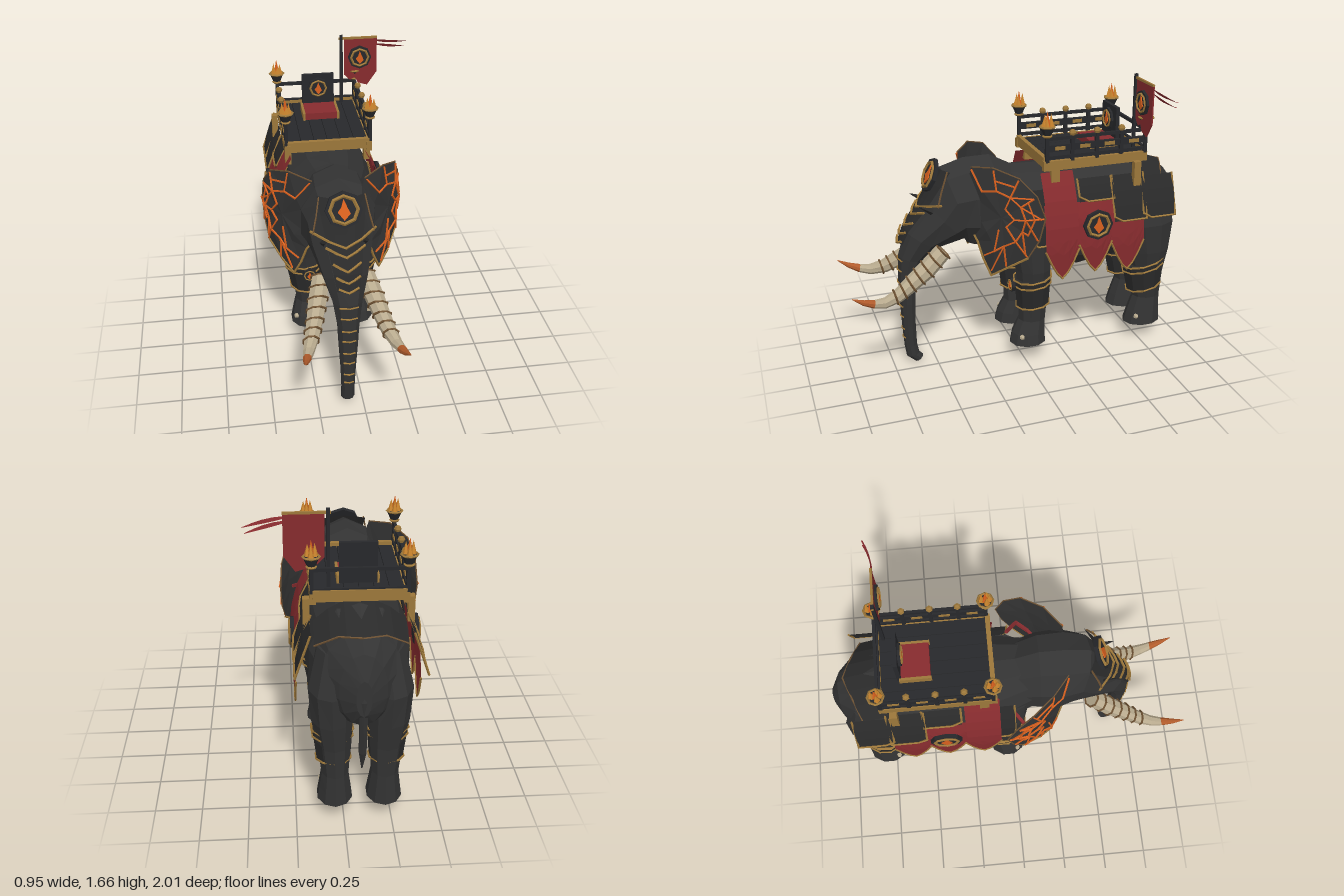
import * as THREE from 'three';
import { mergeGeometries } from 'three/addons/utils/BufferGeometryUtils.js';

const H = Math.PI / 2;
const V = (x, y, z) => new THREE.Vector3(x, y, z);
const shapeOf = pts => new THREE.Shape(pts.map(p => new THREE.Vector2(...p)));
const mix = (a, b, t) => a.map((v, k) => v + (b[k] - v) * t);
const mat = (name, color, side = THREE.FrontSide) => Object.assign(new THREE.MeshStandardMaterial({ color, side }), { name });

// Faceted, non-indexed copy of a geometry
function flat(g) {
  const f = g.index ? g.toNonIndexed() : g;
  f.deleteAttribute('uv');
  f.computeVertexNormals();
  return f;
}
function mirrored(g) {
  const m = g.clone().scale(-1, 1, 1), p = m.attributes.position;
  for (let i = 0; i < p.count; i += 3) {
    const a = V().fromBufferAttribute(p, i), b = V().fromBufferAttribute(p, i + 2);
    p.setXYZ(i, b.x, b.y, b.z);
    p.setXYZ(i + 2, a.x, a.y, a.z);
  }
  m.computeVertexNormals();
  return m;
}
const build = (points, index) => flat(new THREE.BufferGeometry().setFromPoints(points).setIndex(index));
// Ring of a section [x, y, z, rx, rv, tilt]; tilt 0 faces +z, tilt PI/2 faces down
const ring = ([x, y, z, rx, rv, a], n = 10, grow = 0) => Array.from({ length: n }, (_, i) => {
  const t = (i + 0.5) / n * Math.PI * 2, u = (rv + grow) * Math.sin(t);
  return V(x + (rx + grow) * Math.cos(t), y + u * Math.cos(a), z + u * Math.sin(a));
});
// Closed skin through a row of sections
function loft(sections, n = 10) {
  const pts = sections.flatMap(s => ring(s, n)), idx = [], last = sections.length - 1, c = pts.length;
  pts.push(V(...sections[0].slice(0, 3)), V(...sections[last].slice(0, 3)));
  for (let j = 0; j < n; j++) {
    const k = (j + 1) % n;
    for (let i = 0; i < last * n; i += n) idx.push(i + j, i + k, i + j + n, i + k, i + k + n, i + j + n);
    idx.push(c, k, j, c + 1, last * n + j, last * n + k);
  }
  return build(pts, idx);
}
// Thin open sheet from a rule
function sheet(nu, nv, fn) {
  const pts = [], idx = [], w = nu + 1;
  for (let j = 0; j <= nv; j++) for (let i = 0; i <= nu; i++) {
    const a = j * w + i;
    pts.push(fn(i / nu, j / nv));
    if (i < nu && j < nv) idx.push(a, a + w, a + 1, a + 1, a + w, a + w + 1);
  }
  return build(pts, idx);
}
// Chain of thin straight bars
function rod(points, r, closed = false) {
  const list = closed ? [...points, points[0]] : points;
  return mergeGeometries(list.slice(1).map((b, i) => {
    const d = b.clone().sub(list[i]), c = list[i].clone().add(b).multiplyScalar(0.5);
    const g = new THREE.CylinderGeometry(r, r, d.length() + r, 4);
    g.applyQuaternion(new THREE.Quaternion().setFromUnitVectors(V(0, 1, 0), d.normalize()));
    return flat(g.translate(c.x, c.y, c.z));
  }));
}
function interp(table, v) {
  let i = 0;
  while (i < table.length - 2 && v < table[i + 1][0]) i++;
  const [a, x] = table[i], [b, y] = table[i + 1];
  return x + (y - x) * THREE.MathUtils.clamp((v - a) / (b - a), 0, 1);
}

export function createModel() {
  const hide = mat('charcoal hide', 0x333333), iron = mat('black iron', 0x27282b), plate = mat('armour black', 0x2a2a2a, THREE.DoubleSide);
  const red = mat('red cloth', 0x862b2e, THREE.DoubleSide), gold = mat('aged gold', 0x9c773a), flame = mat('flame yellow', 0xcc862e);
  const ivory = mat('ivory', 0xb8aa8e), brown = mat('brown band', 0x6e5233), orange = mat('ember orange', 0xd8601e), tipMat = mat('burnt tip', 0xb25c2c);
  const root = new THREE.Group(), beast = new THREE.Group();
  root.name = 'warElephant';
  beast.name = 'elephant';
  beast.position.x = -0.085;
  root.add(beast);
  const add = (name, g, m, parent = beast) => parent.add(Object.assign(new THREE.Mesh(g, m), { name }));
  const pair = (name, g, m) => { add(name + 'Left', g, m); add(name + 'Right', mirrored(g), m); };
  const box = (name, w, h, d, x, y, z, m) => add(name, flat(new THREE.BoxGeometry(w, h, d).translate(x, y, z)), m);
  const extrude = (s, depth) => new THREE.ExtrudeGeometry(s, { depth, bevelEnabled: false });

  // Round badge with a flame, facing +z
  function medallion(name, r, x, y, z, ry = 0, rx = 0) {
    const g = new THREE.Group();
    add('badge', flat(new THREE.CylinderGeometry(r, r, 0.02, 8).rotateX(H)), iron, g);
    add('badgeRing', flat(new THREE.TorusGeometry(r * 0.74, r * 0.1, 4, 8).translate(0, 0, 0.012)), gold, g);
    const s = shapeOf([[0, -0.55], [0.34, -0.2], [0.2, 0.1], [0, 0.6], [-0.14, 0.15], [-0.34, -0.1]].map(p => [p[0] * r, p[1] * r]));
    add('badgeFlame', flat(extrude(s, 0.006).translate(0, 0, 0.01)), orange, g);
    g.name = name;
    g.position.set(x, y, z);
    g.rotation.set(rx, ry, 0);
    beast.add(g);
  }

  // Body, head with trunk, tail
  add('body', loft([[0, 0.82, -0.998, 0.04, 0.1, 0], [0, 0.84, -0.95, 0.12, 0.2, 0], [0, 0.86, -0.86, 0.21, 0.26, 0],
    [0, 0.87, -0.7, 0.26, 0.315, 0], [0, 0.86, -0.5, 0.28, 0.32, 0], [0, 0.845, -0.35, 0.29, 0.325, 0],
    [0, 0.865, -0.15, 0.27, 0.3, 0], [0, 0.9, 0, 0.22, 0.27, 0], [0, 0.94, 0.12, 0.18, 0.24, 0]], 14), hide);
  const trunk = [[0, 0.68, 0.62, 0.08, 0.075, 1.35], [0, 0.55, 0.65, 0.06, 0.05, 1.57], [0, 0.4, 0.65, 0.052, 0.045, 1.57],
    [0, 0.25, 0.65, 0.042, 0.04, 1.57], [0, 0.12, 0.645, 0.037, 0.037, 1.57], [0, 0.055, 0.635, 0.038, 0.038, 1.8], [0, 0.022, 0.6, 0.034, 0.03, 2.2]];
  add('headAndTrunk', loft([[0, 0.94, 0, 0.17, 0.22, 0], [0, 0.97, 0.15, 0.2, 0.27, 0], [0, 0.97, 0.27, 0.21, 0.27, 0.12],
    [0, 0.96, 0.36, 0.185, 0.25, 0.3], [0, 0.89, 0.42, 0.165, 0.165, 0.75], [0, 0.79, 0.55, 0.12, 0.11, 1.05], ...trunk], 10), hide);
  trunk.slice(0, 4).forEach((s, i) => [0.1, 0.55].forEach(t =>
    add('trunkBand', rod(ring(mix(s, trunk[i + 1], t), 10, 0.002).slice(1, 4), 0.005), gold)));
  add('tail', loft([[0, 0.95, -0.93, 0.04, 0.03, H], [0, 0.8, -0.985, 0.025, 0.02, H], [0, 0.62, -0.965, 0.022, 0.024, H],
    [0, 0.48, -0.945, 0.022, 0.024, H], [0, 0.37, -0.925, 0.004, 0.004, H]], 6), hide);

  // Legs with guards
  pair('frontLeg', loft([[0.14, 0.95, -0.05, 0.1, 0.14, H], [0.16, 0.75, -0.05, 0.11, 0.13, H], [0.16, 0.58, -0.06, 0.1, 0.105, H],
    [0.147, 0.42, -0.065, 0.083, 0.09, H], [0.14, 0.25, -0.06, 0.076, 0.083, H], [0.146, 0.17, -0.038, 0.092, 0.101, H],
    [0.15, 0.108, -0.032, 0.1, 0.11, H]], 10), hide);
  pair('rearLeg', loft([[0.12, 1, -0.74, 0.1, 0.15, H], [0.15, 0.78, -0.77, 0.12, 0.18, H], [0.145, 0.6, -0.79, 0.11, 0.14, H],
    [0.135, 0.45, -0.8, 0.09, 0.105, H], [0.13, 0.28, -0.81, 0.073, 0.086, H], [0.13, 0.18, -0.795, 0.086, 0.106, H],
    [0.13, 0.108, -0.786, 0.096, 0.118, H]], 10), hide);
  for (const [name, top, low] of [['frontGuard', [0.165, 0.53, -0.055, 0.112, 0.11, H + 0.12], [0.15, 0.35, -0.062, 0.092, 0.098, H + 0.1]],
    ['rearGuard', [0.142, 0.52, -0.77, 0.108, 0.132, H + 0.2], [0.137, 0.35, -0.785, 0.09, 0.108, H + 0.2]]]) {
    pair(name, loft([top, low], 10), plate);
    [top, mix(top, low, 0.22), low].forEach(s => pair(name + 'Trim', rod(ring(s, 10, 0.003), 0.006, true), gold));
  }
  for (const s of [-1, 1]) medallion('kneeBadge', 0.042, s * 0.14, 0.48, 0.062);
  for (const [x, z] of [[0.22, 0.025], [0.2, -0.72]]) pair('toenail', flat(new THREE.DodecahedronGeometry(0.016).translate(x, 0.165, z)), ivory);

  // Ears: faceted lens shape swept back from the head
  const outline = [[0, 1.1], [0.1, 1.225], [0.4, 1.245], [0.7, 1.2], [0.9, 1.1], [1, 0.97], [0.93, 0.84], [0.8, 0.74],
    [0.55, 0.67], [0.36, 0.61], [0.26, 0.7], [0.18, 0.8], [0.04, 0.88]], N = outline.length;
  const earPoint = (u, y, d) => V(0.468 * u ** 0.3, 0, 0.4 * Math.cos(1.4 * u)).normalize().multiplyScalar(d)
    .add(V(0.1 + 0.288 * Math.sin(1.4 * u), y, 0.31 - 0.36 * u ** 1.3));
  const earAt = (i, s, d) => earPoint(0.5 + (outline[i][0] - 0.5) * s, 0.97 + (outline[i][1] - 0.97) * s, d);
  const bump = i => i % 2 ? 0.018 : 0.008, ep = [], ei = [];
  for (let i = 0; i < N; i++) {
    const a = i * 3, b = (i + 1) % N * 3;
    ep.push(earAt(i, 1, 0), earAt(i, 0.55, bump(i)), earAt(i, 0.55, -0.015));
    ei.push(a, a + 1, b, b, a + 1, b + 1, 3 * N, b + 1, a + 1, a, b, a + 2, b, b + 2, a + 2, 3 * N + 1, a + 2, b + 2);
  }
  ep.push(earPoint(0.5, 0.97, 0.012), earPoint(0.5, 0.97, -0.015));
  pair('ear', build(ep, ei), hide);
  pair('earTrim', rod([7, 8, 9, 10, 11, 12].map(i => earAt(i, 1, 0.002)), 0.007), gold);
  pair('earRimTrim', rod([1, 2, 3, 4, 5, 6, 7].map(i => earAt(i, 1, 0.002)), 0.004), brown);
  // Glowing cracks: paths of [outline point, distance from the ear's middle]
  const onEar = ([i, s]) => earAt(i, s, 0.007 + (s > 0.55 ? bump(i) * (1 - s) / 0.45 : 0.012 + (bump(i) - 0.012) * s / 0.55));
  [[[2, 0.95], [2, 0.55], [3, 0.55], [4, 0.9]], [[3, 0.95], [3, 0.55], [4, 0.55], [5, 0.9]], [[4, 0.9], [4, 0.55], [5, 0.55], [6, 0.95]],
    [[5, 0.95], [5, 0.55], [6, 0.55], [7, 0.9]], [[6, 0.55], [7, 0.55], [7, 0.95]], [[7, 0.55], [8, 0.55], [9, 0.9]], [[8, 0.55], [8, 0.95]],
    [[2, 0.55], [1, 0.55], [1, 0.95]], [[9, 0.55], [10, 0.9]], [[3, 0.55], [3, 0.25], [5, 0.3], [5, 0.55]], [[7, 0.55], [7, 0.2], [5, 0.3]],
    [[8, 0.55], [9, 0.55], [9, 0.2]], [[4, 0.75], [5, 0.75], [6, 0.7], [6, 0.55]], [[2, 0.75], [3, 0.8]]]
    .forEach(c => pair('earCrack', rod(c.map(onEar), 0.0055), orange));

  // Tusks
  const tusk = [[0.12, 0.74, 0.46, 0.05, 0.05, 0.7], [0.15, 0.66, 0.56, 0.054, 0.054, 0.6], [0.178, 0.597, 0.66, 0.047, 0.047, 0.5],
    [0.203, 0.55, 0.74, 0.04, 0.04, 0.3], [0.228, 0.53, 0.82, 0.031, 0.031, 0], [0.242, 0.54, 0.88, 0.024, 0.024, -0.25]];
  pair('tusk', loft(tusk, 8), ivory);
  pair('tuskTip', loft([tusk[5], [0.253, 0.563, 0.94, 0.015, 0.015, -0.4], [0.262, 0.598, 1, 0.002, 0.002, -0.5]], 8), tipMat);
  for (const t of [0, 0.5, 1, 1.5, 2, 2.6, 3.2]) {
    const i = Math.floor(t);
    pair('tuskBand', rod(ring(mix(tusk[i], tusk[i + 1], t - i), 8, 0.003), 0.006, true), brown);
  }

  // Face mask with gold chevrons
  const face = [[1.24, 0.42], [1.19, 0.445], [1, 0.545], [0.845, 0.655], [0.69, 0.7]];
  const onFace = (x, y, d) => V(x, y, interp(face, y) + d - 2.6 * x * x);
  add('faceMask', sheet(4, 5, (u, v) => onFace((u - 0.5) * (0.26 - 0.14 * v), 1.2 - 0.42 * v, 0.012)), plate);
  [[0.17, 1.0, 0.05], [0.1, 0.96, 0.035], [0.07, 0.9, 0.03], [0.06, 0.85, 0.025], [0.05, 0.8, 0.02]].forEach(([w, y, rise]) =>
    add('maskChevron', rod([-1, -0.5, 0, 0.5, 1].map(t => onFace(t * w, y - 0.02 + rise * Math.abs(t), 0.02)), 0.007), gold));
  pair('maskEdge', rod([1.2, 1.1, 1.02].map((y, i) => onFace(0.12 + i * 0.02, y, 0.02)), 0.005), brown);
  pair('browSpike', flat(new THREE.ConeGeometry(0.02, 0.09, 4).rotateX(1.1).translate(0.11, 1, 0.55)), plate);
  medallion('foreheadBadge', 0.098, 0, 1.155, 0.49, 0, -0.4);

  // Side cloths following the flank
  const flank = [[1.18, 0.19], [1.05, 0.262], [0.9, 0.308], [0.75, 0.322], [0.55, 0.31]];
  const onFlank = (z, y, d = 0) => V(interp(flank, y) + d, y, z);
  for (let k = 0; k < 3; k++) {
    const low = u => (k === 1 ? 0.585 : 0.565) + 0.17 * Math.abs(2 * u - 1) ** 1.4;
    const at = (u, v) => onFlank(-0.08 - 0.2 * (k + u), 1 + (low(u) - 1) * v, 0.012 * Math.sin(u * Math.PI));
    pair('pennant', sheet(6, 6, at), red);
    pair('pennantTrim', rod([0, 1 / 6, 1 / 3, 0.5, 2 / 3, 5 / 6, 1].map(u => at(u, 1)), 0.006), gold);
  }
  pair('shoulderCloth', sheet(2, 5, (u, v) => onFlank(-0.08 - 0.19 * u, 1.17 - 0.37 * v, 0.018)), red);
  pair('redStrap', rod([V(0.24, 0.98, 0), V(0.31, 0.93, 0.06), V(0.27, 0.9, 0.12), V(0.2, 0.88, 0.18)], 0.012), red);
  for (const s of [-1, 1]) medallion('flankBadge', 0.088, s * 0.33, 0.87, -0.385, s * H);

  // Armour plates: [front z, back z, top y, bottom y, offset]
  [[0, -0.16, 1.08, 0.77, -0.015], [-0.29, -0.5, 1.12, 1, 0.01], [-0.49, -0.69, 1.12, 0.87, 0.016], [-0.67, -0.87, 1.1, 0.87, 0.014]].forEach(([z0, z1, y0, y1, d]) => {
    pair('armourPlate', sheet(2, 3, (u, v) => onFlank(z0 + (z1 - z0) * u, y0 + (y1 - y0) * v, d)), plate);
    const e = [[z0, y0], [z0, y1 + 0.03], [z0 + (z1 - z0) * 0.25, y1], [z1, y1], [z1, y0]];
    pair('armourTrim', rod(e.map(([z, y]) => onFlank(z, y, d + 0.003)), 0.006), gold);
  });
  const rump = (x, z) => V(x, 1.195 - 2.2 * x * x - (-z - 0.66) * 0.36, z);
  add('rumpPlate', sheet(6, 2, (u, v) => rump((u - 0.5) * 0.46, -0.66 - v * (0.25 - 0.09 * Math.abs(2 * u - 1)))), plate);
  add('rumpTrim', rod([-1, -0.5, 0, 0.5, 1].map(t => rump(t * 0.23, -0.91 + 0.09 * Math.abs(t))), 0.005), brown);

  // Platform on the back
  for (let i = 0; i < 6; i++) box('plank', 0.072, 0.03, 0.59, (i - 2.5) * 0.075, 1.228, -0.4, iron);
  box('deckBase', 0.45, 0.02, 0.58, 0, 1.205, -0.4, iron);
  for (const z of [-0.105, -0.7]) box('endBeam', 0.46, 0.06, 0.025, 0, 1.232, z, gold);
  const posts = [-0.11, -0.257, -0.403, -0.55, -0.697];
  for (const s of [-1, 1]) {
    const x = s * 0.235;
    box('sideBeam', 0.03, 0.055, 0.62, s * 0.23, 1.215, -0.4, gold);
    box('frontStrut', 0.035, 0.09, 0.05, s * 0.225, 1.155, -0.16, gold);
    box('rearStrut', 0.035, 0.14, 0.04, s * 0.262, 1.125, -0.64, gold);
    for (const [y, h] of [[1.262, 0.018], [1.313, 0.038], [1.368, 0.018]]) box('sideRail', 0.016, h, 0.59, x, y, -0.403, iron);
    posts.forEach((z, i) => {
      box('railPost', 0.02, 0.15, 0.02, x, 1.31, z, iron);
      if (i > 0 && i < 4) add('postKnob', flat(new THREE.SphereGeometry(0.02, 6, 4).translate(x, 1.392, z)), gold);
      if (i < 4) box('railInlay', 0.024, 0.02, 0.06, x, 1.313, z - 0.073, gold);
    });
    // Braziers on the corner posts
    for (const z of [posts[0], posts[4]]) {
      add('brazierCup', flat(new THREE.CylinderGeometry(0.042, 0.018, 0.055, 8).translate(x, 1.41, z)), iron);
      for (const [r, y] of [[0.041, 1.438], [0.022, 1.385]]) add('brazierRim', flat(new THREE.TorusGeometry(r, 0.007, 4, 8).rotateX(H).translate(x, y, z)), gold);
      [[0, 0, 0.09, orange], [0.018, 0.01, 0.065, flame], [-0.018, 0.008, 0.07, flame], [0.002, -0.02, 0.075, flame], [0.004, 0.022, 0.05, flame]].forEach(([dx, dz, h, m]) =>
        add('brazierFlame', flat(new THREE.ConeGeometry(0.018, h, 5).translate(x + dx, 1.435 + h / 2, z + dz)), m));
    }
  }
  for (const y of [1.262, 1.368]) box('rearRail', 0.47, 0.018, 0.016, 0, y, -0.697, iron);

  // Throne
  box('throneSeat', 0.19, 0.04, 0.16, 0, 1.265, -0.505, red);
  for (const s of [-1, 1]) box('throneArm', 0.014, 0.045, 0.17, s * 0.1, 1.263, -0.505, gold);
  box('throneBack', 0.19, 0.215, 0.022, 0, 1.357, -0.59, iron);
  medallion('throneBadge', 0.064, 0, 1.382, -0.575);

  // Banner
  box('bannerPole', 0.018, 0.43, 0.018, 0.152, 1.452, -0.665, iron);
  box('bannerBar', 0.23, 0.012, 0.012, 0.253, 1.647, -0.665, gold);
  add('banner', flat(extrude(shapeOf([[0.17, 1.645], [0.17, 1.42], [0.205, 1.385], [0.235, 1.4], [0.255, 1.365], [0.31, 1.348], [0.367, 1.43],
    [0.367, 1.645]]), 0.008).translate(0, 0, -0.67)), red);
  medallion('bannerBadge', 0.07, 0.262, 1.53, -0.657);
  [[1.625, 1.598, 0.555], [1.602, 1.568, 0.545]].forEach(([y0, y1, x1]) => add('streamer', sheet(4, 1, (u, v) =>
    V(0.365 + (x1 - 0.365) * u, y0 + (y1 - y0) * u + (0.5 - v) * 0.018 * Math.sin((0.2 + 0.8 * u) * Math.PI), -0.665 - 0.045 * u * u + (0.5 - v) * 0.008)), red));
  return root;
}
